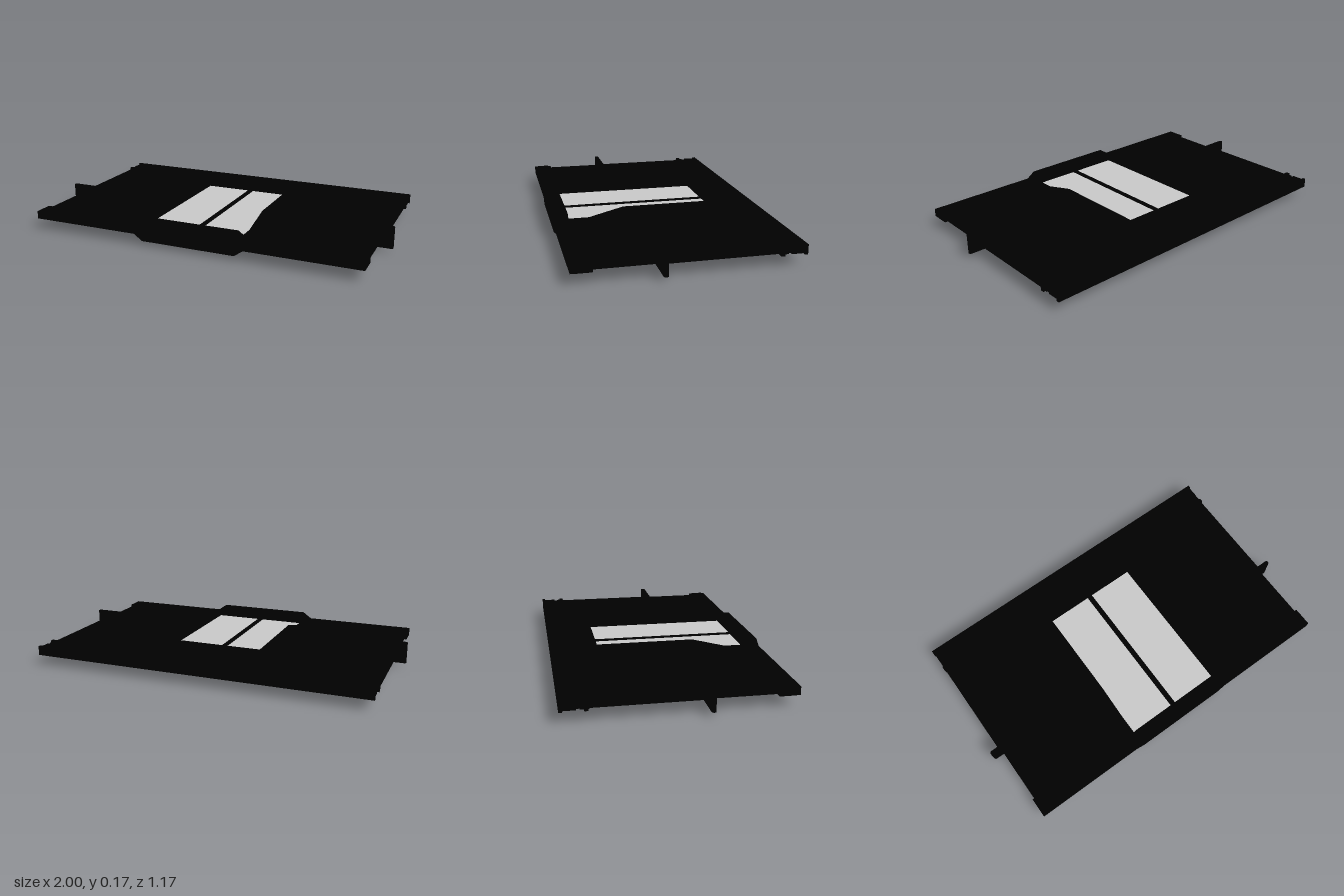
import * as THREE from 'three';

const black = new THREE.MeshStandardMaterial({ color: 0x000000 });
black.name = 'black';
const paleGrey = new THREE.MeshStandardMaterial({ color: 0xc9c9c9 });
paleGrey.name = 'paleGrey';

const MID = 0.083; // height of the horizontal symmetry plane

export function createModel() {
  const group = new THREE.Group();

  const add = (name, geometry, material = black) => {
    const mesh = new THREE.Mesh(geometry, material);
    mesh.name = name;
    group.add(mesh);
    return mesh;
  };

  // Box given by its limits on x and z and its height about a centre level
  const slab = (name, x0, x1, z0, z1, height, y = MID, material = black) => {
    const mesh = add(name, new THREE.BoxGeometry(Math.abs(x1 - x0), height, z1 - z0), material);
    mesh.position.set((x0 + x1) / 2, y, (z0 + z1) / 2);
    return mesh;
  };

  const toShape = (points) => new THREE.Shape(points.map(([a, b]) => new THREE.Vector2(a, b)));

  // Block with chamfered corners, facing the front
  const chamferedBlock = (name, w, h, cx, cy, z0, z1, bevel) => {
    const shape = toShape([
      [-w, MID - h + cy], [-w + cx, MID - h], [w - cx, MID - h], [w, MID - h + cy],
      [w, MID + h - cy], [w - cx, MID + h], [-w + cx, MID + h], [-w, MID + h - cy],
    ]);
    const geometry = new THREE.ExtrudeGeometry(shape, {
      depth: z1 - z0 - 2 * bevel, bevelEnabled: bevel > 0,
      bevelThickness: bevel, bevelSize: bevel, bevelOffset: -bevel, bevelSegments: 1,
    });
    add(name, geometry.translate(0, 0, z0 + bevel));
  };

  // Rails along the rear edge
  slab('rearEdgeRail', -0.955, 0.955, -0.584, -0.567, 0.052);
  slab('rearEdgeBand', -0.95, 0.95, -0.567, -0.502, 0.04);
  slab('rearInnerBand', -0.95, 0.95, -0.485, -0.44, 0.036);
  slab('rearInnerRail', -0.955, 0.955, -0.465, -0.445, 0.052);

  // Sheet behind the window opening
  slab('rearSheet', -0.95, 0.95, -0.57, -0.37, 0.026);

  // Window: two flat panes with a bar between them, visible from above and below
  for (const s of [-1, 1]) slab('windowPane', s * 0.013, s * 0.285, -0.34, 0.508, 0.008, MID, paleGrey);
  slab('windowBar', -0.015, 0.015, -0.35, 0.51, 0.016);

  // Deep wall behind the window and chamfered lip in front of it
  chamferedBlock('rearWall', 0.325, 0.083, 0.012, 0.012, -0.39, -0.352, 0);
  chamferedBlock('rearWallInner', 0.31, 0.07, 0.01, 0.01, -0.352, -0.332, 0);
  chamferedBlock('frontLip', 0.32, 0.06, 0.05, 0.035, 0.504, 0.583, 0.009);

  // Side profile of the window frame, tapering toward the front
  const half = [[-0.36, 0.072], [0.2, 0.072], [0.3, 0.047], [0.39, 0.024], [0.53, 0.024]];
  const cheekShape = toShape([
    ...half.map(([z, h]) => [z, MID - h]),
    ...half.slice().reverse().map(([z, h]) => [z, MID + h]),
  ]);

  for (const s of [-1, 1]) {
    // Side wall of the window frame
    const cheek = new THREE.ExtrudeGeometry(cheekShape, { depth: 0.036, bevelEnabled: false });
    cheek.rotateY(-Math.PI / 2).translate(s * 0.3 + 0.018, 0, 0);
    add('frameSide', cheek);

    // Sheet beside the window, and the rail on its front edge
    slab('sideSheet', s * 0.3, s * 0.95, -0.37, 0.12, 0.026);
    slab('frontSheet', s * 0.3, s * 0.94, 0.12, 0.5, 0.026);
    slab('frontEdgeRail', s * 0.3, s * 0.95, 0.475, 0.582, 0.044);

    // Upright cross bar with a rounded outer end
    slab('crossBar', s * 0.31, s * 0.988, 0.128, 0.152, 0.12);
    const tip = add('crossBarTip', new THREE.CylinderGeometry(0.012, 0.012, 0.12, 12));
    tip.position.set(s * 0.988, MID, 0.14);

    // Raised pad with a curved edge, showing on both faces of the sheet
    const pad = new THREE.Shape();
    pad.moveTo(s * 0.3, -0.44);
    pad.lineTo(s * 0.47, -0.44);
    pad.lineTo(s * 0.47, -0.17);
    pad.bezierCurveTo(s * 0.46, -0.06, s * 0.38, 0.0, s * 0.32, 0.09);
    pad.lineTo(s * 0.3, 0.09);
    const padGeometry = new THREE.ExtrudeGeometry(pad, { depth: 0.038, bevelEnabled: false, curveSegments: 10 });
    padGeometry.rotateX(Math.PI / 2).translate(0, MID + 0.019, 0);
    add('curvedPad', padGeometry);

    for (const v of [-1, 1]) {
      // Plates on the front rail
      for (const [a, b] of [[0.325, 0.61], [0.64, 0.94]]) {
        slab('railPlate', s * a, s * b, 0.492, 0.562, 0.006, MID + v * 0.024);
      }
      // Small bracket in front of the cross bar
      slab('bracketArm', s * 0.462, s * 0.478, 0.15, 0.23, 0.02, MID + v * 0.018);
      const knob = add('bracketKnob', new THREE.CylinderGeometry(0.012, 0.012, 0.05, 8));
      knob.position.set(s * 0.47, MID + v * 0.035, 0.165);
    }
  }
  return group;
}
